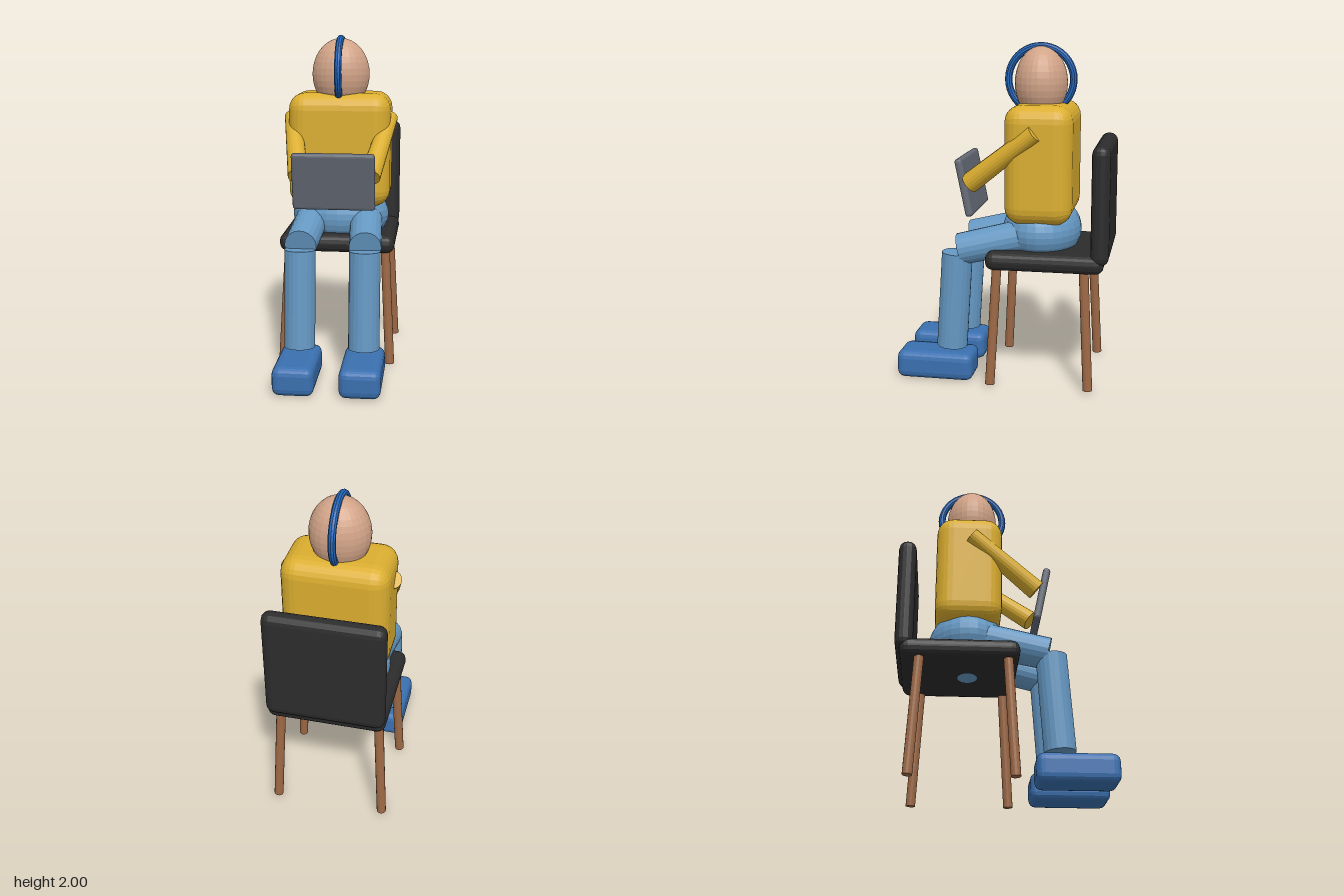
import * as THREE from 'three';
import { RoundedBoxGeometry } from 'three/addons/geometries/RoundedBoxGeometry.js';

const colours = {
  skin: 0xd2a488, sweater: 0xdbae30, denim: 0x6699c4, shoe: 0x3a70b0, headphone: 0x2466b8,
  chairBlack: 0x2c2c2c, wood: 0x9c6845, tabletGrey: 0x646a75,
};

export function createModel() {
  const mats = {};
  for (const [name, color] of Object.entries(colours)) {
    mats[name] = new THREE.MeshStandardMaterial({ color });
    mats[name].name = name;
  }
  const model = new THREE.Group();
  model.name = 'seatedReader';
  const figure = new THREE.Group();
  figure.name = 'figureOnChair';
  figure.rotation.y = 0.13;
  figure.position.x = 0.017;
  model.add(figure);

  // Faceted mesh
  const add = (name, geo, mat, pos = [0, 0, 0]) => {
    const flat = geo.index ? geo.toNonIndexed() : geo;
    flat.computeVertexNormals();
    const mesh = new THREE.Mesh(flat, mats[mat]);
    mesh.name = name;
    mesh.position.set(...pos);
    figure.add(mesh);
    return mesh;
  };
  // Box with rounded edges
  const block = (name, size, radius, mat, pos, segments = 2) =>
    add(name, new RoundedBoxGeometry(...size, segments, radius), mat, pos);
  // Cylinder from point a (radius ra) to point b (radius rb)
  const rod = (name, a, b, ra, rb, mat, sides = 20) => {
    const from = new THREE.Vector3(...a), to = new THREE.Vector3(...b);
    const dir = to.clone().sub(from);
    const mesh = add(name, new THREE.CylinderGeometry(rb, ra, dir.length(), sides), mat);
    mesh.position.copy(from).addScaledVector(dir, 0.5);
    mesh.quaternion.setFromUnitVectors(new THREE.Vector3(0, 1, 0), dir.normalize());
    return mesh;
  };
  const ball = (name, radii, mat, pos) =>
    add(name, new THREE.SphereGeometry(1, 28, 18).scale(...radii), mat, pos);

  // Chair
  block('seat', [0.7, 0.11, 0.69], 0.05, 'chairBlack', [0, 0.76, -0.255]);
  block('chairBack', [0.7, 0.69, 0.105], 0.05, 'chairBlack', [0, 1.1, -0.575]);
  for (const sx of [-1, 1]) for (const sz of [-1, 1]) {
    rod('chairLeg', [sx * 0.33, 0.012, -0.232 + sz * 0.29],
      [sx * 0.293, 0.73, -0.232 + sz * 0.253], 0.028, 0.028, 'wood', 14);
  }

  // Trunk and head
  ball('pelvis', [0.3, 0.2, 0.235], 'denim', [0, 0.898, -0.205]);
  block('torso', [0.62, 0.69, 0.395], 0.1, 'sweater', [0, 1.31, -0.208], 3);
  ball('head', [0.175, 0.215, 0.155], 'skin', [0, 1.765, -0.192]);
  add('headBand', new THREE.TorusGeometry(0.192, 0.022, 10, 40).rotateY(Math.PI / 2),
    'headphone', [0, 1.786, -0.19]);

  // Limbs
  for (const [side, s] of [['left', 1], ['right', -1]]) {
    rod(side + 'Thigh', [s * 0.165, 0.89, -0.15], [s * 0.19, 0.792, 0.262], 0.1, 0.095, 'denim');
    rod(side + 'Shin', [s * 0.19, 0.193, 0.316], [s * 0.19, 0.773, 0.278], 0.092, 0.092, 'denim');
    block(side + 'Shoe', [0.24, 0.168, 0.465], 0.045, 'shoe', [s * 0.19, 0.084, 0.406]);
    rod(side + 'Arm', [s * 0.3, 1.505, -0.198], [s * 0.21, 1.195, 0.196], 0.05, 0.061, 'sweater');
  }

  // Tablet held in front
  block('tablet', [0.485, 0.345, 0.045], 0.018, 'tabletGrey', [0, 1.168, 0.228]).rotation.x = 0.2;

  return model;
}
